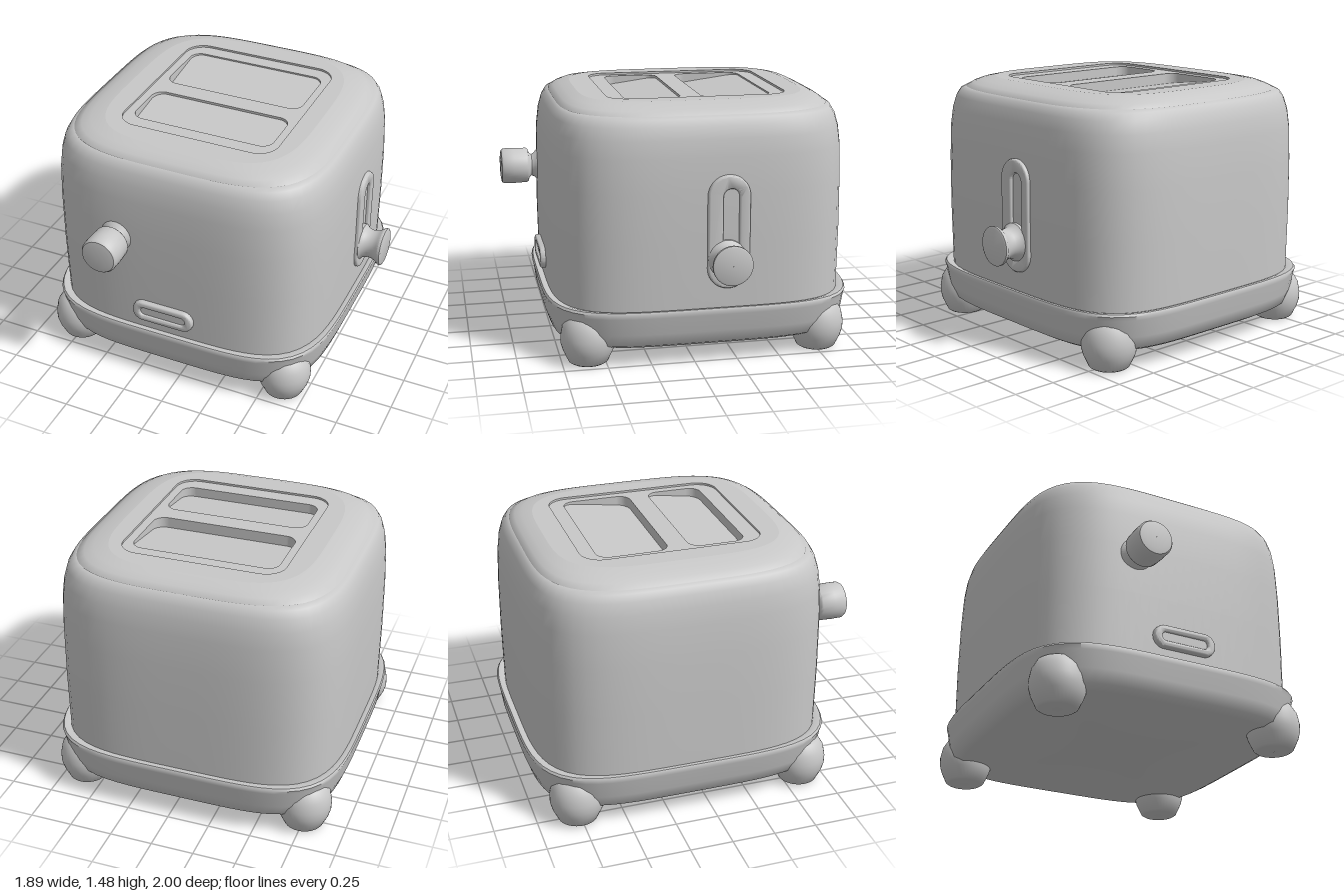
import * as THREE from 'three';
import { toCreasedNormals } from 'three/addons/utils/BufferGeometryUtils.js';

const CX = -0.06, CZ = -0.09, SEG = 96;

// Radius of a soft square of unit half-width in direction t
const soft = (t, n) => (Math.abs(Math.cos(t)) ** n + Math.abs(Math.sin(t)) ** n) ** (-1 / n);

// Skin over soft-square rings given as [y, halfX, halfZ], bottom to top
function loft(rings, n, crease = 0.6) {
  const pos = [], idx = [];
  for (const [y, hx, hz] of rings) {
    for (let i = 0; i < SEG; i++) {
      const t = (i / SEG) * Math.PI * 2, r = soft(t, n);
      pos.push(CX + hx * r * Math.cos(t), y, CZ + hz * r * Math.sin(t));
    }
  }
  for (let k = 0; k < rings.length - 1; k++) {
    for (let i = 0; i < SEG; i++) {
      const j = (i + 1) % SEG, a = k * SEG + i, b = k * SEG + j;
      idx.push(a, a + SEG, b, b, a + SEG, b + SEG);
    }
  }
  const g = new THREE.BufferGeometry();
  g.setAttribute('position', new THREE.Float32BufferAttribute(pos, 3));
  g.setIndex(idx);
  return toCreasedNormals(g, crease);
}

// Rounded rectangle between two corners
function roundRect(x0, y0, x1, y1, r, Type = THREE.Shape) {
  const s = new Type();
  s.absarc(x1 - r, y1 - r, r, 0, Math.PI / 2);
  s.absarc(x0 + r, y1 - r, r, Math.PI / 2, Math.PI);
  s.absarc(x0 + r, y0 + r, r, Math.PI, Math.PI * 1.5);
  s.absarc(x1 - r, y0 + r, r, Math.PI * 1.5, Math.PI * 2);
  s.closePath();
  return s;
}

// Horizontal plate whose top lies at y; shapes use (x, -z)
function plate(shape, y, depth) {
  const g = new THREE.ExtrudeGeometry(shape, { depth, bevelEnabled: false, curveSegments: 10 });
  return g.rotateX(-Math.PI / 2).translate(0, y - depth, 0);
}

function lathe(points, segments = 40) {
  const g = new THREE.LatheGeometry(points.map(([r, y]) => new THREE.Vector2(r, y)), segments);
  g.deleteAttribute('normal');
  g.deleteAttribute('uv');
  return toCreasedNormals(g, 0.7);
}

export function createModel() {
  const group = new THREE.Group();
  const metal = new THREE.MeshStandardMaterial({ color: 0xc8c8c8 });
  metal.name = 'light grey';
  const add = (name, geometry, x = 0, y = 0, z = 0) => {
    const m = new THREE.Mesh(geometry, metal);
    m.name = name;
    m.position.set(x, y, z);
    group.add(m);
    return m;
  };

  // Base tray with a soft ledge around the shell
  add('baseTray', loft([
    [0.1, 0.001, 0.001], [0.1, 0.79, 0.82], [0.125, 0.835, 0.865], [0.2, 0.862, 0.89],
    [0.3, 0.877, 0.903], [0.325, 0.884, 0.91], [0.338, 0.877, 0.902], [0.338, 0.862, 0.885], [0.328, 0.835, 0.855],
  ], 4.4, 0.9));

  // Main shell, rounding in at the shoulder
  add('body', loft([
    [0.3, 0.848, 0.866], [0.7, 0.852, 0.87], [1.0, 0.85, 0.867], [1.2, 0.842, 0.86],
    [1.3, 0.83, 0.848], [1.37, 0.812, 0.828], [1.41, 0.79, 0.805], [1.425, 0.765, 0.78], [1.425, 0.7, 0.72],
  ], 4.2));

  // Domed lid
  add('lid', loft([
    [1.41, 0.775, 0.79], [1.425, 0.77, 0.785], [1.447, 0.73, 0.755], [1.466, 0.68, 0.715], [1.48, 0.6, 0.66],
  ], 4, 0.9));

  // Flat lid centre with a shallow well
  const rim = new THREE.Shape();
  for (let i = 0; i < SEG; i++) {
    const t = (i / SEG) * Math.PI * 2, r = soft(t, 4);
    rim[i ? 'lineTo' : 'moveTo'](CX + 0.6 * r * Math.cos(t), -CZ + 0.66 * r * Math.sin(t));
  }
  rim.closePath();
  rim.holes.push(roundRect(-0.53, -0.43, 0.43, 0.62, 0.12, THREE.Path));
  add('lidTop', plate(rim, 1.48, 0.02));

  // Well floor with two bread slots, each sloping down towards the front
  const slots = [[-0.53, -0.12], [0, 0.33]];
  const well = roundRect(-0.55, -0.45, 0.45, 0.64, 0.12);
  for (const [z0, z1] of slots) well.holes.push(roundRect(-0.48, -z1, 0.38, -z0, 0.07, THREE.Path));
  add('slotPlate', plate(well, 1.468, 0.08));
  for (const [z0, z1] of slots) {
    const floor = add('slotFloor', new THREE.BoxGeometry(0.87, 0.01, z1 - z0 + 0.01), -0.05, 1.427, (z0 + z1) / 2);
    floor.rotation.x = 0.13;
  }

  // Four feet swelling out of the tray corners
  const foot = lathe([
    [0.001, 0], [0.1, 0], [0.115, 0.01], [0.145, 0.075], [0.156, 0.115],
    [0.157, 0.16], [0.145, 0.22], [0.115, 0.27], [0.06, 0.3], [0.001, 0.305],
  ]);
  for (const x of [-0.75, 0.612]) {
    for (const z of [-0.763, 0.597]) add('foot', foot, x, 0, z);
  }

  // Browning dial on the front
  add('dial', lathe([
    [0.11, -0.06], [0.1, -0.01], [0.075, 0.01], [0.066, 0.028], [0.078, 0.042], [0.1, 0.05],
    [0.107, 0.06], [0.11, 0.14], [0.109, 0.2], [0.1, 0.214], [0.07, 0.219], [0.001, 0.22],
  ]).rotateX(Math.PI / 2), -0.365, 0.943, 0.78);

  // Crumb tray handle, a small raised frame
  const handle = roundRect(-0.18, -0.055, 0.18, 0.055, 0.054);
  handle.holes.push(roundRect(-0.155, -0.038, 0.155, 0.038, 0.037, THREE.Path));
  const bevel = { bevelEnabled: true, bevelThickness: 0.015, bevelSize: 0.012, bevelSegments: 3, curveSegments: 10 };
  add('trayHandle', toCreasedNormals(new THREE.ExtrudeGeometry(handle, { depth: 0.05, ...bevel }), 0.9), -0.08, 0.465, 0.745);
  add('trayHandleFace', new THREE.BoxGeometry(0.3, 0.08, 0.05), -0.08, 0.465, 0.77);

  // Lever track on the left side
  const track = roundRect(-0.11, -0.315, 0.11, 0.315, 0.109);
  track.holes.push(roundRect(-0.045, -0.26, 0.07, 0.26, 0.057, THREE.Path));
  const trackGeo = toCreasedNormals(new THREE.ExtrudeGeometry(track, { depth: 0.05, ...bevel }), 0.9);
  add('leverTrack', trackGeo.rotateY(Math.PI / 2), 0.745, 0.775, -0.18);

  // Lever knob, flared outwards
  add('leverKnob', lathe([
    [0.11, -0.05], [0.11, 0.022], [0.092, 0.04], [0.084, 0.07], [0.088, 0.1], [0.1, 0.125],
    [0.114, 0.142], [0.114, 0.157], [0.104, 0.162], [0.001, 0.163],
  ]).rotateZ(-Math.PI / 2), 0.787, 0.622, -0.17);

  return group;
}
